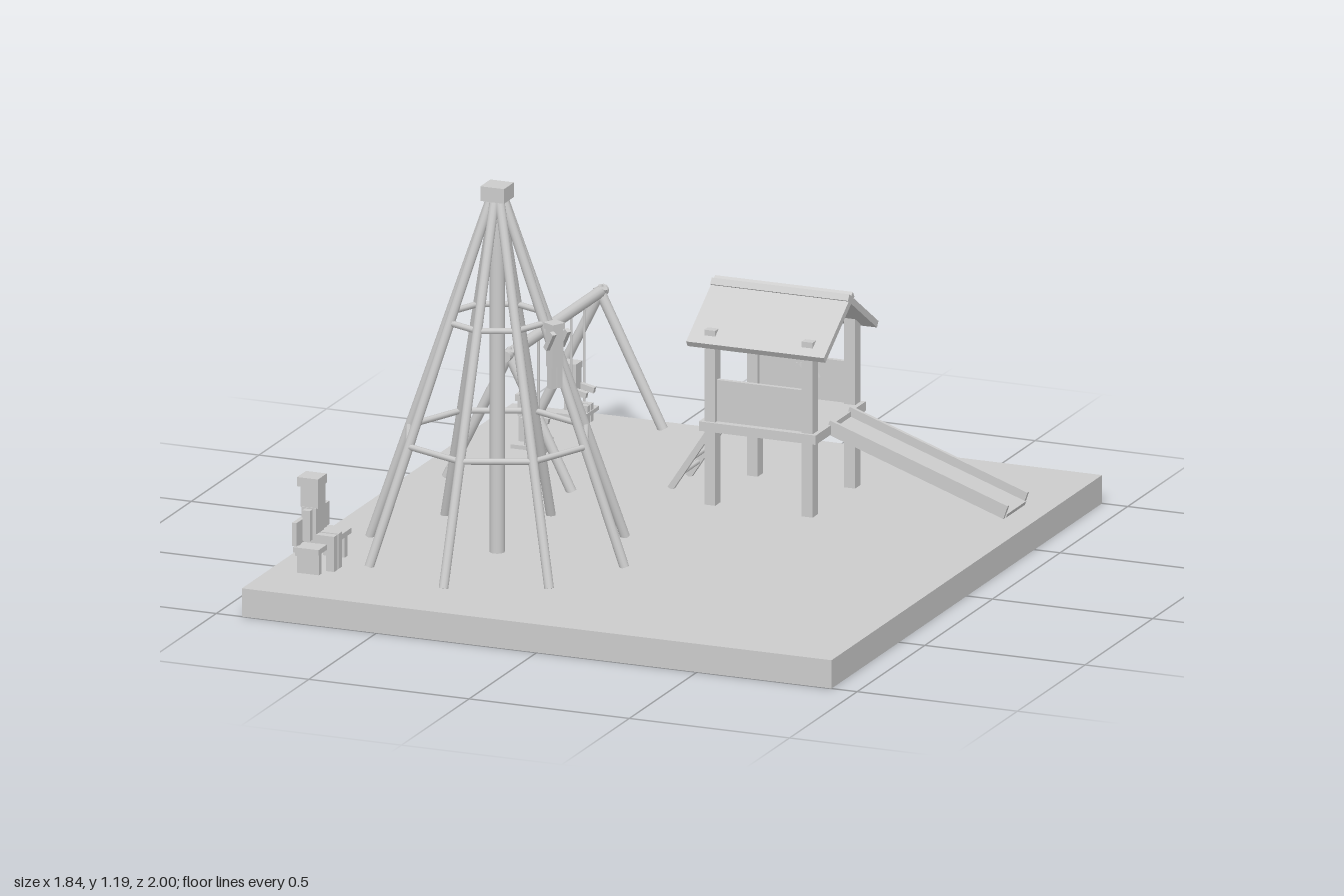
import * as THREE from 'three';

const V = (x, y, z) => new THREE.Vector3(x, y, z);

export function createModel() {
  const grey = new THREE.MeshStandardMaterial({ color: 0xcccccc });
  grey.name = 'plain grey';
  const root = new THREE.Group();
  root.name = 'playground';
  const GROUND = 0.085;

  const group = (name, parent = root) => {
    const g = new THREE.Group();
    g.name = name;
    parent.add(g);
    return g;
  };
  const box = (parent, name, w, h, d, x, y, z) => {
    const m = new THREE.Mesh(new THREE.BoxGeometry(w, h, d), grey);
    m.position.set(x, y, z);
    m.name = name;
    parent.add(m);
    return m;
  };
  // Round bar between two points
  const bar = (parent, name, a, b, r, sides = 12) => {
    const dir = b.clone().sub(a);
    const m = new THREE.Mesh(new THREE.CylinderGeometry(r, r, dir.length(), sides), grey);
    m.position.copy(a).add(b).multiplyScalar(0.5);
    m.quaternion.setFromUnitVectors(V(0, 1, 0), dir.normalize());
    m.name = name;
    parent.add(m);
    return m;
  };
  // Box beam running in the x-y plane from a to b
  const beam = (parent, name, a, b, thick, depth) => {
    const m = box(parent, name, a.distanceTo(b), thick, depth, (a.x + b.x) / 2, (a.y + b.y) / 2, a.z);
    m.rotation.z = Math.atan2(b.y - a.y, b.x - a.x);
    return m;
  };

  // Blocky figure facing +x with its hips at the origin; arm angle 0 hangs down, 90 points forward
  const figure = (name, { pos, scale = 1, turn = 0, arm = 0, seated = false, shin = 0.045 }) => {
    const g = group(name);
    g.position.copy(pos);
    g.scale.setScalar(scale);
    g.rotation.y = turn;
    box(g, 'torso', 0.032, 0.076, 0.044, 0, 0.038, 0);
    box(g, 'head', 0.04, 0.052, 0.04, 0, 0.101, 0);
    box(g, 'hair', 0.047, 0.02, 0.048, -0.002, 0.13, 0);
    for (const s of [-1, 1]) {
      const shoulder = group('arm', g);
      shoulder.position.set(0, 0.066, s * 0.029);
      shoulder.rotation.z = THREE.MathUtils.degToRad(arm);
      box(shoulder, 'sleeve', 0.017, 0.066, 0.015, 0, -0.026, 0);
      if (seated) {
        box(g, 'thigh', 0.07, 0.019, 0.018, 0.022, 0.009, s * 0.012);
        box(g, 'shin', 0.018, shin, 0.018, 0.048, -shin / 2, s * 0.012);
      } else {
        box(g, 'leg', 0.022, 0.07, 0.019, 0, -0.035, s * 0.012);
      }
    }
  };

  box(root, 'ground', 1.84, GROUND, 2, 0, GROUND / 2, 0);

  // Climbing pyramid: mast, eight sloping poles, two octagonal rings of rungs
  const pyramid = group('climbingPyramid');
  pyramid.position.set(-0.386, 0, 0.378);
  bar(pyramid, 'mast', V(0, GROUND, 0), V(0, 1.15, 0), 0.022, 16);
  box(pyramid, 'cap', 0.074, 0.044, 0.074, 0, 1.166, 0);
  const polar = (i, r, y) => V(r * Math.cos(i * Math.PI / 4), y, r * Math.sin(i * Math.PI / 4));
  for (let i = 0; i < 8; i++) {
    bar(pyramid, 'slopingPole', polar(i, 0.02, 1.145), polar(i, 0.397, GROUND), 0.014);
    for (const [r, y] of [[0.146, 0.788], [0.276, 0.432]]) {
      bar(pyramid, 'rung', polar(i, r, y), polar(i + 1, r, y), 0.009, 8);
    }
  }
  figure('climber', { pos: V(-0.183, 0.682, 0.434), scale: 0.93, turn: -0.5, arm: 150 });

  // Swing set: A-frames, top beam and two hanging seats
  const swings = group('swingSet');
  const sx = -0.615;
  bar(swings, 'topBeam', V(sx, 0.476, -0.952), V(sx, 0.476, -0.222), 0.017);
  for (const z of [-0.928, -0.253]) {
    for (const s of [-1, 1]) {
      bar(swings, 'frameLeg', V(sx - s * 0.008, 0.49, z), V(sx + s * 0.195, GROUND, z), 0.015);
    }
  }
  for (const z of [-0.76, -0.422]) {
    box(swings, 'swingSeat', 0.085, 0.012, 0.115, sx, 0.163, z);
    for (const s of [-1, 1]) {
      bar(swings, 'rope', V(sx, 0.165, z + s * 0.048), V(sx, 0.476, z + s * 0.048), 0.004, 8);
    }
    figure('swingingChild', { pos: V(-0.632, 0.17, z), arm: 78, seated: true, shin: 0.036 });
  }

  // Bench with a seated grown-up
  const bench = group('bench');
  const bz = 0.69;
  box(bench, 'benchSeat', 0.08, 0.016, 0.245, -0.8, 0.158, bz);
  box(bench, 'benchBack', 0.014, 0.07, 0.245, -0.836, 0.204, bz);
  for (const s of [-1, 1]) {
    box(bench, 'benchLeg', 0.068, 0.07, 0.02, -0.8, 0.12, bz + s * 0.095);
    box(bench, 'backPost', 0.012, 0.07, 0.018, -0.836, 0.17, bz + s * 0.095);
  }
  figure('benchSitter', { pos: V(-0.816, 0.166, 0.722), scale: 1.38, seated: true, shin: 0.058 });

  // Playhouse: posts, platform, side walls and gabled roof
  const house = group('playhouse');
  const hx = 0.15, hz = -0.46;
  box(house, 'platform', 0.365, 0.028, 0.37, hx, 0.322, hz);
  for (const s of [-1, 1]) {
    for (const t of [-1, 1]) {
      box(house, 'post', 0.034, 0.525, 0.038, hx + s * 0.152, 0.348, hz + t * 0.157);
    }
    box(house, 'wall', 0.29, 0.125, 0.014, hx, 0.398, hz + s * 0.157);
    // Roof slabs overlap slightly at the ridge
    const slope = group('roofSlope', house);
    slope.position.set(hx, 0.696, hz);
    slope.rotation.x = s * Math.atan(0.65);
    box(slope, 'roofPanel', 0.43, 0.02, 0.256, 0, 0, s * 0.106);
  }
  figure('playhouseChild', { pos: V(0.195, 0.405, -0.505), arm: 35 });

  // Slide: bed with two raised side rails
  const slide = group('slide');
  const top = V(0.322, 0.33, -0.467), end = V(0.877, 0.137, -0.467);
  const shift = (p, dy, z) => V(p.x, p.y + dy, z);
  beam(slide, 'slideBed', shift(top, -0.012, hz - 0.007), shift(end, -0.012, hz - 0.007), 0.012, 0.14);
  for (const z of [-0.54, -0.394]) beam(slide, 'slideRail', shift(top, 0, z), shift(end, 0, z), 0.042, 0.012);

  // Ladder up to the platform
  const ladder = group('ladder');
  for (const z of [-0.533, -0.399]) {
    beam(ladder, 'ladderRail', V(-0.172, GROUND, z), V(-0.018, 0.32, z), 0.018, 0.014);
  }
  for (let i = 1; i <= 4; i++) {
    const t = i / 5;
    bar(ladder, 'ladderRung', V(-0.172 + 0.154 * t, GROUND + 0.235 * t, -0.533),
      V(-0.172 + 0.154 * t, GROUND + 0.235 * t, -0.399), 0.007, 8);
  }
  return root;
}
